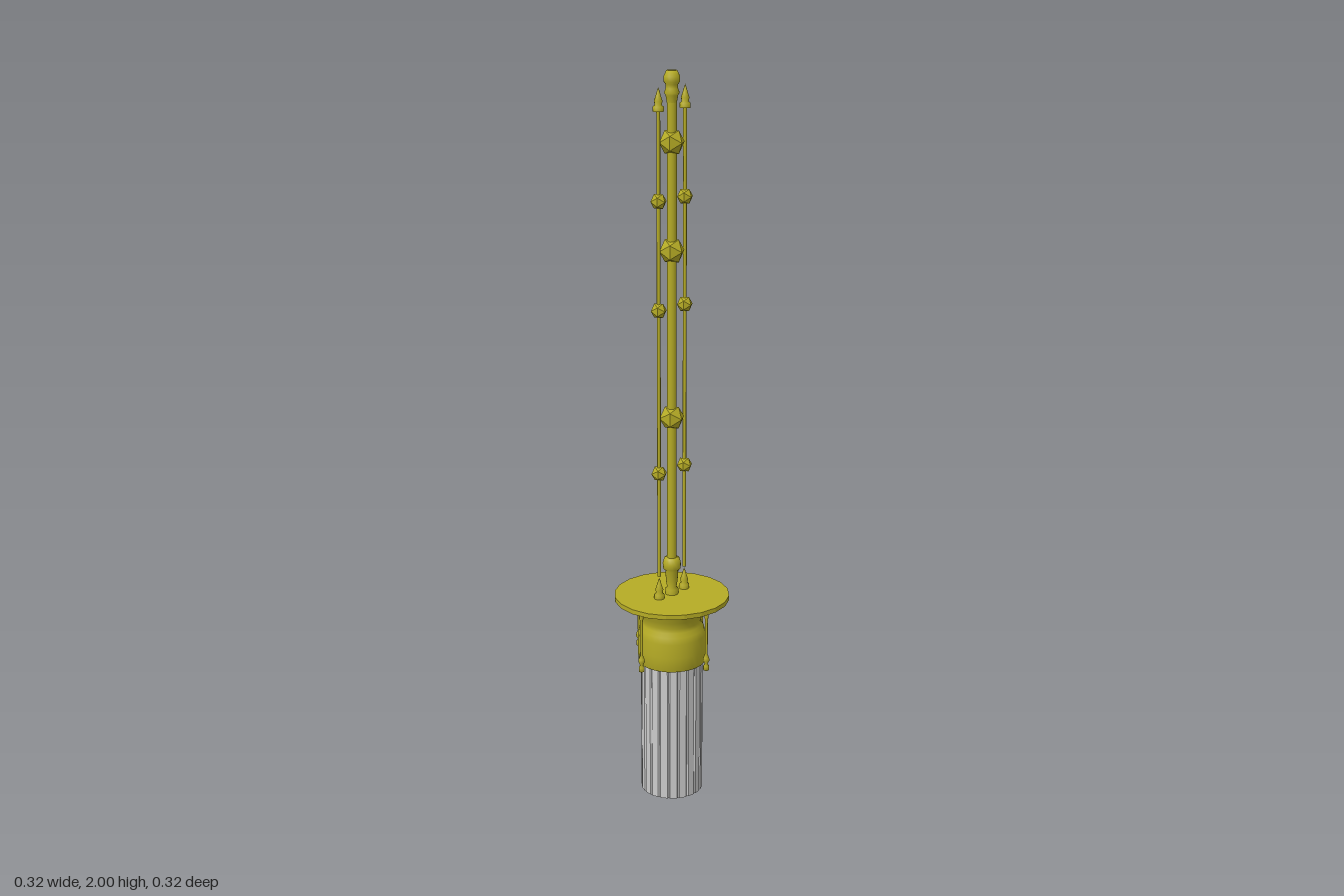
import * as THREE from 'three';

const brass = new THREE.MeshStandardMaterial({ color: 0xb5ab25, side: THREE.DoubleSide });
const brassFlat = new THREE.MeshStandardMaterial({ color: 0xb5ab25, flatShading: true });
const grey = new THREE.MeshStandardMaterial({ color: 0xcccccc, flatShading: true });

export function createModel() {
  const model = new THREE.Group();

  function add(name, geometry, material, x = 0, y = 0, z = 0, parent = model) {
    const mesh = new THREE.Mesh(geometry, material);
    mesh.name = name;
    mesh.position.set(x, y, z);
    parent.add(mesh);
    return mesh;
  }
  // Turned part from [radius, height] pairs, listed bottom to top
  const turned = (pairs, sides) =>
    new THREE.LatheGeometry(pairs.map(([r, y]) => new THREE.Vector2(r, y)), sides);

  // Hollow handle made of flat staves with shallow grooves between them
  const outline = new THREE.Shape();
  const staves = 20;
  for (let i = 0; i < staves; i++) {
    for (const [offset, r] of [[0, 0.083], [0.14, 0.086], [0.86, 0.086]]) {
      const a = ((i + offset) / staves) * Math.PI * 2;
      const x = r * Math.cos(a), y = r * Math.sin(a);
      if (i === 0 && offset === 0) outline.moveTo(x, y);
      else outline.lineTo(x, y);
    }
  }
  outline.closePath();
  const bore = new THREE.Path();
  bore.absarc(0, 0, 0.077, 0, Math.PI * 2, true);
  outline.holes.push(bore);
  const handle = new THREE.ExtrudeGeometry(outline, { depth: 0.4, bevelEnabled: false, curveSegments: 20 });
  handle.rotateX(-Math.PI / 2);
  add('handle', handle, grey);

  // Flared collar under the guard
  add('collar', turned([
    [0.084, 0.388], [0.093, 0.39], [0.094, 0.43], [0.093, 0.47], [0.089, 0.488],
    [0.082, 0.5], [0.081, 0.512], [0.086, 0.53], [0.095, 0.55], [0.1, 0.565], [0.1, 0.575],
  ], 32), brass);

  // Round guard plate
  add('guardPlate', new THREE.CylinderGeometry(0.158, 0.158, 0.013, 20), brassFlat, 0, 0.579, 0);

  // Four pendants hanging from the plate, slightly off centre
  const pendant = turned([
    [0, 0.385], [0.008, 0.39], [0.008, 0.402], [0.004, 0.408], [0.009, 0.418], [0.008, 0.426],
    [0.004, 0.436], [0.004, 0.54], [0.006, 0.545], [0.006, 0.575],
  ], 10);
  for (let i = 0; i < 4; i++) {
    const a = (i * Math.PI) / 2;
    add('pendant', pendant, brass, 0.007 + 0.125 * Math.cos(a), 0, -0.005 + 0.125 * Math.sin(a));
  }

  // Faceted bead with one corner pointing forward
  function bead(radius) {
    const g = new THREE.IcosahedronGeometry(radius, 0);
    g.rotateX(Math.atan2(2, 1 + Math.sqrt(5)));
    g.rotateZ(Math.PI / 2);
    return g;
  }

  // Central mast with turned ends
  const mast = new THREE.Group();
  mast.name = 'mast';
  model.add(mast);
  add('mastRod', new THREE.CylinderGeometry(0.013, 0.013, 1.33, 12), brass, 0, 1.27, 0, mast);
  add('mastBase', turned([
    [0.018, 0.58], [0.018, 0.6], [0.013, 0.605], [0.016, 0.625], [0.018, 0.655],
    [0.024, 0.66], [0.025, 0.675], [0.021, 0.69], [0.013, 0.692],
  ], 16), brass, 0, 0, 0, mast);
  add('mastTip', turned([
    [0.013, 1.92], [0.016, 1.938], [0.02, 1.944], [0.016, 1.955], [0.016, 1.965],
    [0.021, 1.972], [0.021, 1.985], [0.014, 2], [0, 2],
  ], 16), brass, 0, 0, 0, mast);
  for (const y of [1.09, 1.54, 1.82]) add('mastBead', bead(0.035), brassFlat, 0, y, 0, mast);

  // Two thin side rods with small beads and pointed ends
  const finial = turned([
    [0.014, 0], [0.014, 0.012], [0.009, 0.016], [0.011, 0.026], [0.007, 0.038], [0.003, 0.052], [0, 0.06],
  ], 10);
  for (const side of [-1, 1]) {
    const rod = new THREE.Group();
    rod.name = side > 0 ? 'leftRod' : 'rightRod';
    rod.position.x = side * 0.051;
    model.add(rod);
    add('sideRod', new THREE.CylinderGeometry(0.005, 0.005, 1.26, 8), brass, 0, 1.28, 0, rod);
    add('sideFinial', finial, brass, 0, 0.586, 0, rod);
    add('sideFinial', finial, brass, 0, 1.902, 0, rod);
    for (const y of [0.945, 1.39, 1.675]) add('sideBead', bead(0.022), brassFlat, 0, y, 0, rod);
  }
  return model;
}
